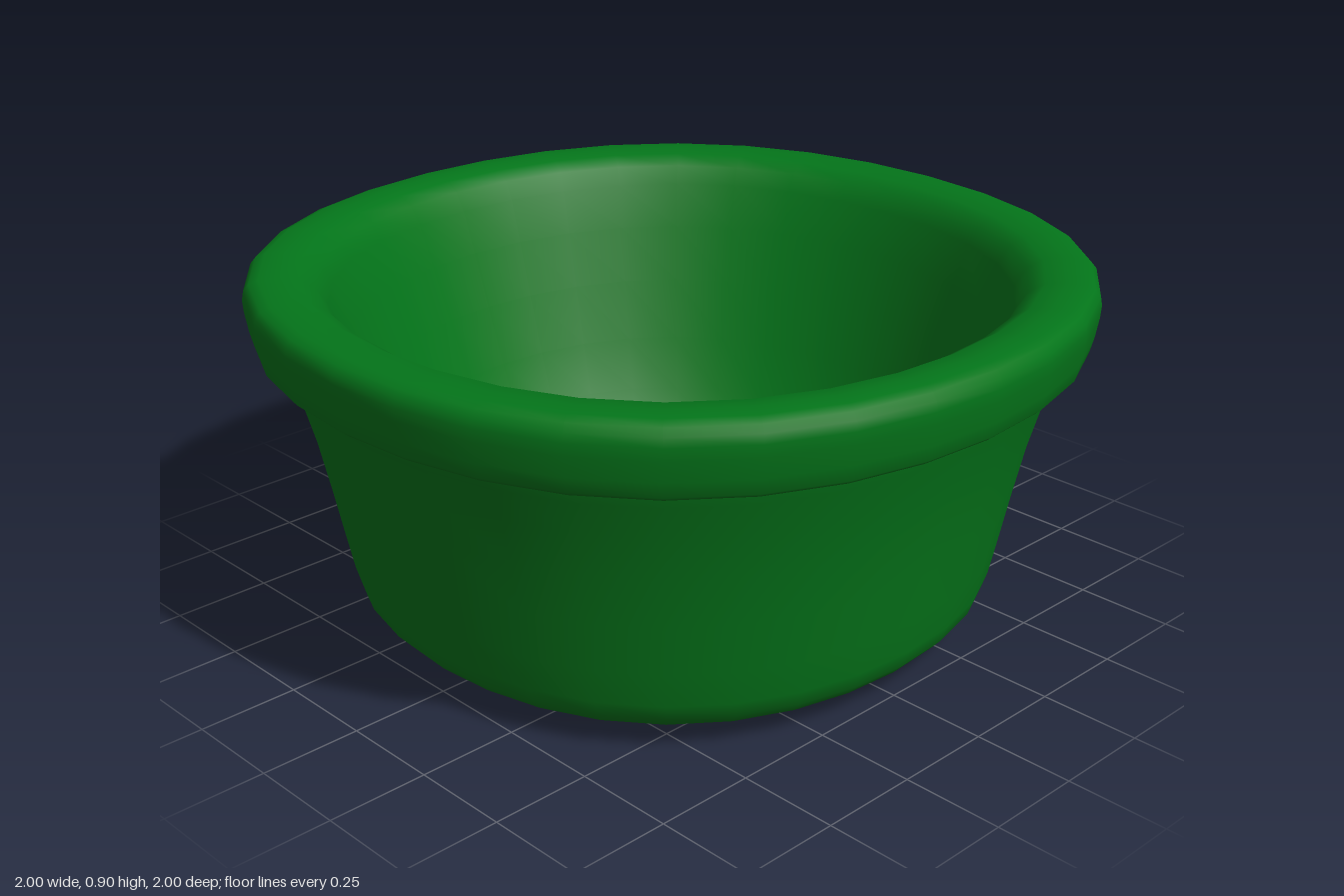
import * as THREE from 'three';

const material = new THREE.MeshStandardMaterial({ color: 0x04751a });

// Revolves a [radius, height] profile, swelling it slightly towards the
// diagonals so that the plan is a softly squared circle.
function turned(name, profile) {
  const points = profile.map(([r, y]) => new THREE.Vector2(r, y));
  const geometry = new THREE.LatheGeometry(points, 32);
  const position = geometry.attributes.position;
  for (let i = 0; i < position.count; i++) {
    const x = position.getX(i), z = position.getZ(i);
    const swell = 1 + 0.027 * Math.sin(2 * Math.atan2(z, x)) ** 2;
    position.setX(i, x * swell);
    position.setZ(i, z * swell);
  }
  const mesh = new THREE.Mesh(geometry, material);
  mesh.name = name;
  return mesh;
}

export function createModel() {
  const group = new THREE.Group();
  group.name = 'ramekin';

  // Domed base running into the flared outer wall
  group.add(turned('outerBody', [
    [0, 0], [0.2, 0.003], [0.42, 0.011], [0.6, 0.022], [0.69, 0.037], [0.745, 0.06],
    [0.772, 0.09], [0.785, 0.13], [0.803, 0.22], [0.828, 0.35], [0.855, 0.48],
    [0.887, 0.6], [0.911, 0.68], [0.922, 0.715], [0.928, 0.752],
  ]));

  // Undercut rim, rolling over the lip into the tapered, round-cornered bowl
  group.add(turned('rimAndBowl', [
    [0.928, 0.752], [0.955, 0.733], [0.969, 0.727], [0.981, 0.738], [0.99, 0.775],
    [0.998, 0.825], [1, 0.855], [0.996, 0.877], [0.983, 0.893], [0.96, 0.902],
    [0.92, 0.904], [0.87, 0.898], [0.833, 0.875], [0.805, 0.83], [0.765, 0.72],
    [0.715, 0.58], [0.66, 0.43], [0.607, 0.3], [0.55, 0.21], [0.47, 0.145],
    [0.36, 0.105], [0.2, 0.082], [0, 0.075],
  ]));

  return group;
}
